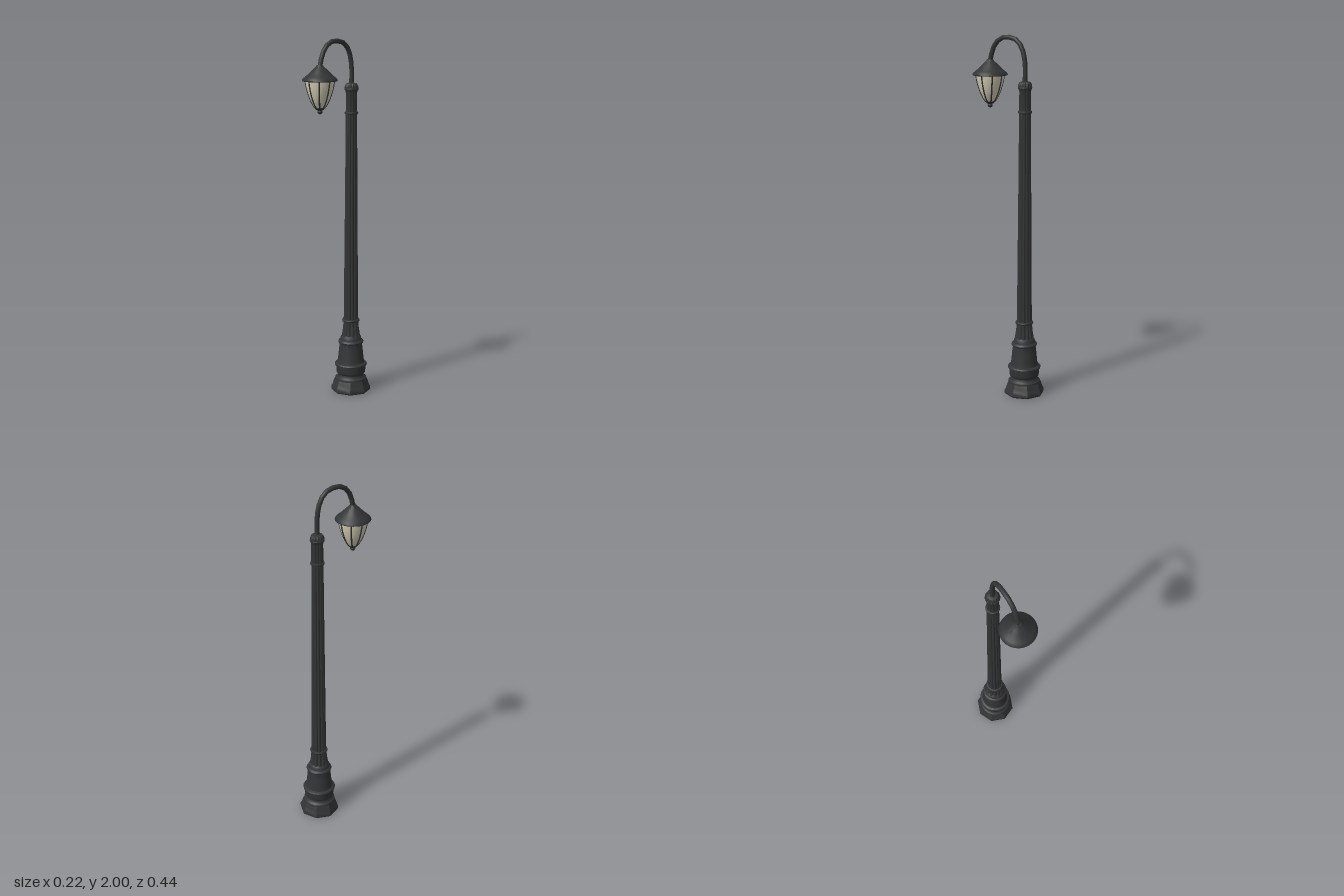
import * as THREE from 'three';
import { toCreasedNormals } from 'three/addons/utils/BufferGeometryUtils.js';

const POST_Z = -0.108, LAMP_Z = 0.124;

const iron = new THREE.MeshStandardMaterial({ name: 'dark iron', color: 0x333435 });
const glass = new THREE.MeshStandardMaterial({ name: 'frosted glass', color: 0xd6d0b6 });
const stone = new THREE.MeshStandardMaterial({ name: 'underside grey', color: 0x8c877a });

// Profiles are [radius, height] pairs running from bottom to top.
const lathe = (profile, sides) =>
  new THREE.LatheGeometry(profile.map(([r, y]) => new THREE.Vector2(r, y)), sides);

function add(group, name, geometry, material, z) {
  const mesh = new THREE.Mesh(toCreasedNormals(geometry, 0.6), material);
  mesh.name = name;
  mesh.position.z = z;
  group.add(mesh);
  return mesh;
}

// Press rounded vertical flutes into a lathed shape.
function flute(geometry, count, depth) {
  const p = geometry.attributes.position;
  for (let i = 0; i < p.count; i++) {
    const a = Math.atan2(p.getX(i), p.getZ(i));
    const k = 1 - depth * (1 - Math.abs(Math.cos(a * count / 2)));
    p.setX(i, p.getX(i) * k);
    p.setZ(i, p.getZ(i) * k);
  }
  geometry.computeVertexNormals();
  return geometry;
}

// Thin moulded collar with a rounded edge.
const collar = (r, y, h) => lathe([
  [r * 0.8, y - h], [r * 0.95, y - h * 0.8], [r, y], [r * 0.95, y + h * 0.8], [r * 0.8, y + h],
], 32);

function buildPost() {
  const post = new THREE.Group();
  post.name = 'post';

  // Octagonal foot
  add(post, 'foot', lathe([
    [0.107, 0], [0.112, 0.006], [0.112, 0.022], [0.104, 0.034], [0.098, 0.055], [0.091, 0.07], [0, 0.072],
  ], 8), iron, POST_Z);
  const underside = add(post, 'footUnderside', new THREE.CircleGeometry(0.107, 8), stone, POST_Z);
  underside.rotation.x = Math.PI / 2;

  // Stepped round pedestal
  add(post, 'pedestal', lathe([
    [0.09, 0.068], [0.089, 0.078], [0.08, 0.084], [0.074, 0.094], [0.074, 0.102], [0.081, 0.108],
    [0.083, 0.115], [0.083, 0.15], [0.091, 0.153], [0.092, 0.159], [0.088, 0.165], [0.077, 0.169],
    [0.073, 0.19], [0.067, 0.25], [0.063, 0.28], [0.07, 0.284], [0.072, 0.291], [0.068, 0.298],
    [0.06, 0.302], [0.058, 0.318], [0.052, 0.326], [0.046, 0.33], [0, 0.332],
  ], 32), iron, POST_Z);

  // Fluted neck and shaft
  add(post, 'flutedNeck', flute(lathe([
    [0.053, 0.325], [0.051, 0.34], [0.046, 0.37], [0.043, 0.412],
  ], 96), 12, 0.16), iron, POST_Z);
  add(post, 'flutedShaft', flute(lathe([
    [0.042, 0.41], [0.0385, 0.8], [0.035, 1.2], [0.032, 1.59],
  ], 96), 12, 0.16), iron, POST_Z);
  add(post, 'lowerCollar', collar(0.05, 0.415, 0.008), iron, POST_Z);
  add(post, 'upperCollar', collar(0.038, 1.592, 0.008), iron, POST_Z);

  // Flared capital
  add(post, 'capital', flute(lathe([
    [0.032, 1.59], [0.031, 1.7], [0.034, 1.712], [0.038, 1.72], [0.038, 1.735],
    [0.034, 1.745], [0.03, 1.752], [0.014, 1.757], [0, 1.757],
  ], 96), 12, 0.14), iron, POST_Z);
  add(post, 'capitalRing', collar(0.039, 1.722, 0.006), iron, POST_Z);
  return post;
}

function buildArm() {
  const path = new THREE.CatmullRomCurve3([
    [-0.108, 1.745], [-0.107, 1.85], [-0.092, 1.918], [-0.058, 1.968], [0.006, 1.985],
    [0.058, 1.974], [0.102, 1.925], [LAMP_Z, 1.85],
  ].map(([z, y]) => new THREE.Vector3(0, y, z)));
  return new THREE.TubeGeometry(path, 12, 0.013, 12);
}

function buildLamp() {
  const lamp = new THREE.Group();
  lamp.name = 'lantern';

  // Bell hood, closed underneath
  add(lamp, 'hood', lathe([
    [0, 1.776], [0.092, 1.776], [0.096, 1.78], [0.093, 1.788], [0.08, 1.799], [0.064, 1.812],
    [0.048, 1.828], [0.034, 1.842], [0.022, 1.853], [0.016, 1.862], [0, 1.864],
  ], 40), iron, LAMP_Z);

  // Tapered glass bowl
  const bowl = [[0.024, 1.632], [0.04, 1.655], [0.056, 1.69], [0.067, 1.725], [0.074, 1.755], [0.077, 1.777]];
  add(lamp, 'glassBowl', lathe(bowl, 32), glass, LAMP_Z);

  // Eight ribs following the bowl
  const ribPath = new THREE.CatmullRomCurve3(bowl.map(([r, y]) => new THREE.Vector3(0, y, r)));
  const ribGeometry = new THREE.TubeGeometry(ribPath, 10, 0.0042, 6);
  for (let i = 0; i < 8; i++) {
    const rib = add(lamp, 'rib', ribGeometry, iron, LAMP_Z);
    rib.rotation.y = i * Math.PI / 4;
  }

  // Bottom cup and finial
  add(lamp, 'finial', lathe([
    [0, 1.6], [0.008, 1.602], [0.013, 1.608], [0.014, 1.614], [0.011, 1.62],
    [0.02, 1.624], [0.027, 1.632], [0.027, 1.638], [0, 1.639],
  ], 24), iron, LAMP_Z);
  return lamp;
}

export function createModel() {
  const model = new THREE.Group();
  model.name = 'streetLamp';
  model.add(buildPost());
  add(model, 'curvedArm', buildArm(), iron, 0);
  model.add(buildLamp());
  return model;
}
